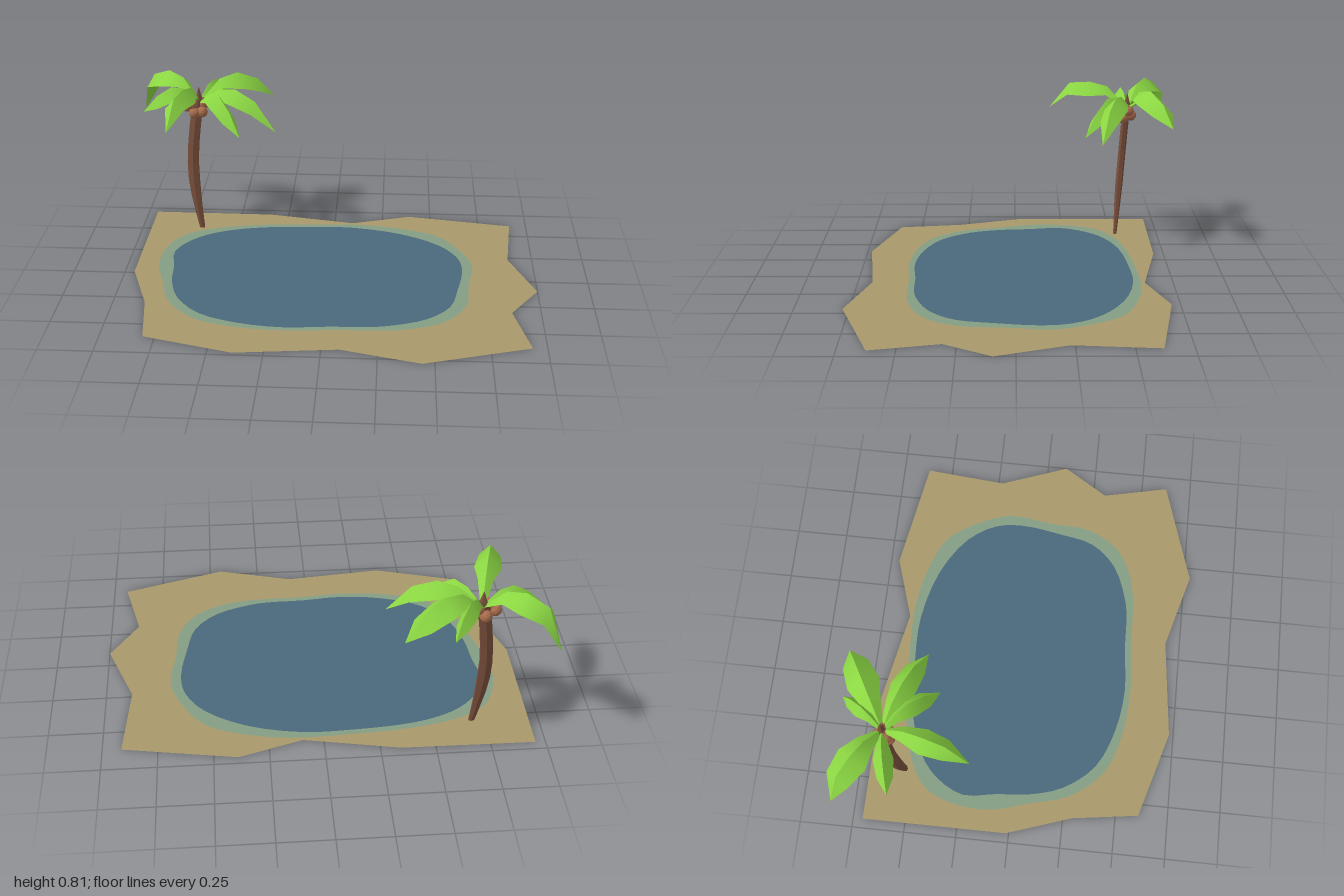
import * as THREE from 'three';

const mat = (name, color, opts = {}) => {
  const m = new THREE.MeshStandardMaterial({ color, ...opts });
  m.name = name;
  return m;
};

// Outlines as [x, z]
const SAND = [[-0.955, -0.705], [-0.345, -0.7], [0.095, -0.615], [0.39, -0.71], [0.915, -0.62],
  [0.88, -0.23], [1, 0.095], [0.865, 0.31], [0.935, 0.625], [0.445, 0.78], [0.08, 0.68],
  [-0.39, 0.73], [-0.805, 0.61], [-0.85, 0.295], [-0.955, -0.015]];
const SHORE = [[-0.13, -0.59], [0.16, -0.595], [0.38, -0.55], [0.54, -0.475], [0.645, -0.32],
  [0.7, -0.16], [0.675, 0.05], [0.66, 0.24], [0.565, 0.4], [0.375, 0.49], [0.03, 0.51],
  [-0.16, 0.525], [-0.4, 0.505], [-0.61, 0.43], [-0.745, 0.27], [-0.8, 0.08], [-0.85, -0.105],
  [-0.835, -0.295], [-0.77, -0.43], [-0.64, -0.51], [-0.425, -0.565]];
const WATER = [[-0.13, -0.56], [0.095, -0.56], [0.35, -0.495], [0.54, -0.375], [0.63, -0.24],
  [0.65, -0.105], [0.62, 0.105], [0.58, 0.27], [0.47, 0.39], [0.295, 0.46], [0.2, 0.475],
  [0.03, 0.48], [-0.185, 0.497], [-0.4, 0.465], [-0.585, 0.385], [-0.705, 0.24], [-0.755, 0.08],
  [-0.77, -0.08], [-0.79, -0.24], [-0.72, -0.375], [-0.61, -0.465], [-0.425, -0.53]];

const straight = pts => pts.map(([x, z]) => new THREE.Vector2(x, -z));
const smooth = pts => new THREE.CatmullRomCurve3(
  pts.map(([x, z]) => new THREE.Vector3(x, -z, 0)), true)
  .getPoints(66).slice(0, -1).map(p => new THREE.Vector2(p.x, p.y));

// Flat ground piece, optionally with a hole for the next one
function flatPiece(outline, hole) {
  const s = new THREE.Shape(outline);
  if (hole) s.holes.push(new THREE.Path(hole));
  return new THREE.ShapeGeometry(s).rotateX(-Math.PI / 2);
}

const CROWN = new THREE.Vector3(-0.685, 0.68, -0.58);

// Folded frond: two strips meeting at a raised midrib
function frondGeometry({ tip, peak, shoulder: [sf, sy], width }) {
  const dx = tip[0] - CROWN.x, dz = tip[2] - CROWN.z, len = Math.hypot(dx, dz);
  const px = -dz / len, pz = dx / len;
  // [distance along, rib height, half width, edge drop]
  const sections = [
    [0, CROWN.y, 0.008, 0.005],
    [sf * 0.35, CROWN.y + (peak - CROWN.y) * 0.85, width * 0.6, 0.04],
    [sf * 0.65, peak, width, 0.065],
    [sf, sy, width * 0.8, 0.055],
    [1, tip[1], 0, 0],
  ];
  const pos = [], idx = [];
  for (const side of [-1, 1]) {
    const base = pos.length / 3;
    sections.forEach(([f, y, w, drop], i) => {
      const x = CROWN.x + dx * f, z = CROWN.z + dz * f;
      pos.push(x, y, z, x + px * w * side, y - drop, z + pz * w * side);
      if (i === sections.length - 1) return;
      const a = base + i * 2;
      const quad = [a, a + 1, a + 2, a + 1, a + 3, a + 2];
      idx.push(...(side < 0 ? quad : quad.reverse()));
    });
  }
  const g = new THREE.BufferGeometry();
  g.setAttribute('position', new THREE.Float32BufferAttribute(pos, 3));
  g.setIndex(idx);
  g.computeVertexNormals();
  // keep the upper side as the front
  if (g.attributes.normal.getY(4) < 0) {
    g.setIndex(idx.reverse());
    g.computeVertexNormals();
  }
  return g;
}

// Five-sided trunk bent along a gentle curve
function trunkGeometry() {
  const path = new THREE.CatmullRomCurve3([[-0.69, 0, -0.53], [-0.717, 0.18, -0.543],
    [-0.728, 0.36, -0.556], [-0.712, 0.55, -0.568], [-0.69, 0.7, -0.578]]
    .map(p => new THREE.Vector3(...p)));
  const g = new THREE.CylinderGeometry(1, 1, 1, 6, 8);
  const p = g.attributes.position;
  for (let i = 0; i < p.count; i++) {
    const t = p.getY(i) + 0.5;
    const c = path.getPoint(t);
    const r = 0.015 + 0.017 * Math.min(1, t * 3);
    p.setXYZ(i, c.x + p.getX(i) * r, c.y, c.z + p.getZ(i) * r * 0.6);
  }
  g.computeVertexNormals();
  return g;
}

export function createModel() {
  const sand = mat('sand', 0xa8996a, { side: THREE.DoubleSide });
  const shallows = mat('shallow water', 0x859d84, { side: THREE.DoubleSide });
  const water = mat('deep water', 0x4a697c, { side: THREE.DoubleSide });
  const bark = mat('bark', 0x7a4f3c, { flatShading: true });
  const nut = mat('coconut', 0xa86c4c, { flatShading: true });
  const leaf = mat('leaf', 0x8cd843, { side: THREE.DoubleSide });

  const model = new THREE.Group();
  model.name = 'oasis';
  const add = (parent, name, geometry, material) => {
    const m = new THREE.Mesh(geometry, material);
    m.name = name;
    parent.add(m);
    return m;
  };

  // Ground
  const shore = smooth(SHORE), pond = smooth(WATER);
  add(model, 'sandGround', flatPiece(straight(SAND), shore), sand);
  add(model, 'shallowRim', flatPiece(shore, pond), shallows);
  add(model, 'pond', flatPiece(pond), water);

  // Palm tree
  const palm = new THREE.Group();
  palm.name = 'palmTree';
  model.add(palm);
  add(palm, 'trunk', trunkGeometry(), bark);
  const bud = add(palm, 'crownBud', new THREE.ConeGeometry(0.022, 0.07, 5), bark);
  bud.position.set(-0.688, 0.725, -0.58);

  // Coconuts clustered under the crown
  [[-0.745, 0.655, -0.575], [-0.71, 0.63, -0.55], [-0.672, 0.633, -0.56],
    [-0.72, 0.675, -0.56], [-0.668, 0.67, -0.585], [-0.7, 0.64, -0.6]].forEach((p, i) => {
    const c = add(palm, 'coconut', new THREE.IcosahedronGeometry(0.029, 1), nut);
    c.position.set(...p);
    c.rotation.set(i, i * 2, 0);
  });

  // Fronds
  [
    { tip: [-1, 0.565, -0.775], peak: 0.81, shoulder: [0.8, 0.77], width: 0.075 },
    { tip: [-0.965, 0.64, -0.525], peak: 0.765, shoulder: [0.75, 0.72], width: 0.045 },
    { tip: [-0.795, 0.665, -0.18], peak: 0.81, shoulder: [0.74, 0.8], width: 0.06 },
    { tip: [-0.46, 0.575, -0.355], peak: 0.755, shoulder: [0.75, 0.69], width: 0.05 },
    { tip: [-0.285, 0.577, -0.43], peak: 0.775, shoulder: [0.73, 0.725], width: 0.06 },
    { tip: [-0.325, 0.65, -0.78], peak: 0.805, shoulder: [0.78, 0.755], width: 0.075 },
    { tip: [-0.54, 0.64, -0.78], peak: 0.77, shoulder: [0.75, 0.73], width: 0.038 },
  ].forEach(f => add(palm, 'frond', frondGeometry(f), leaf));

  return model;
}
